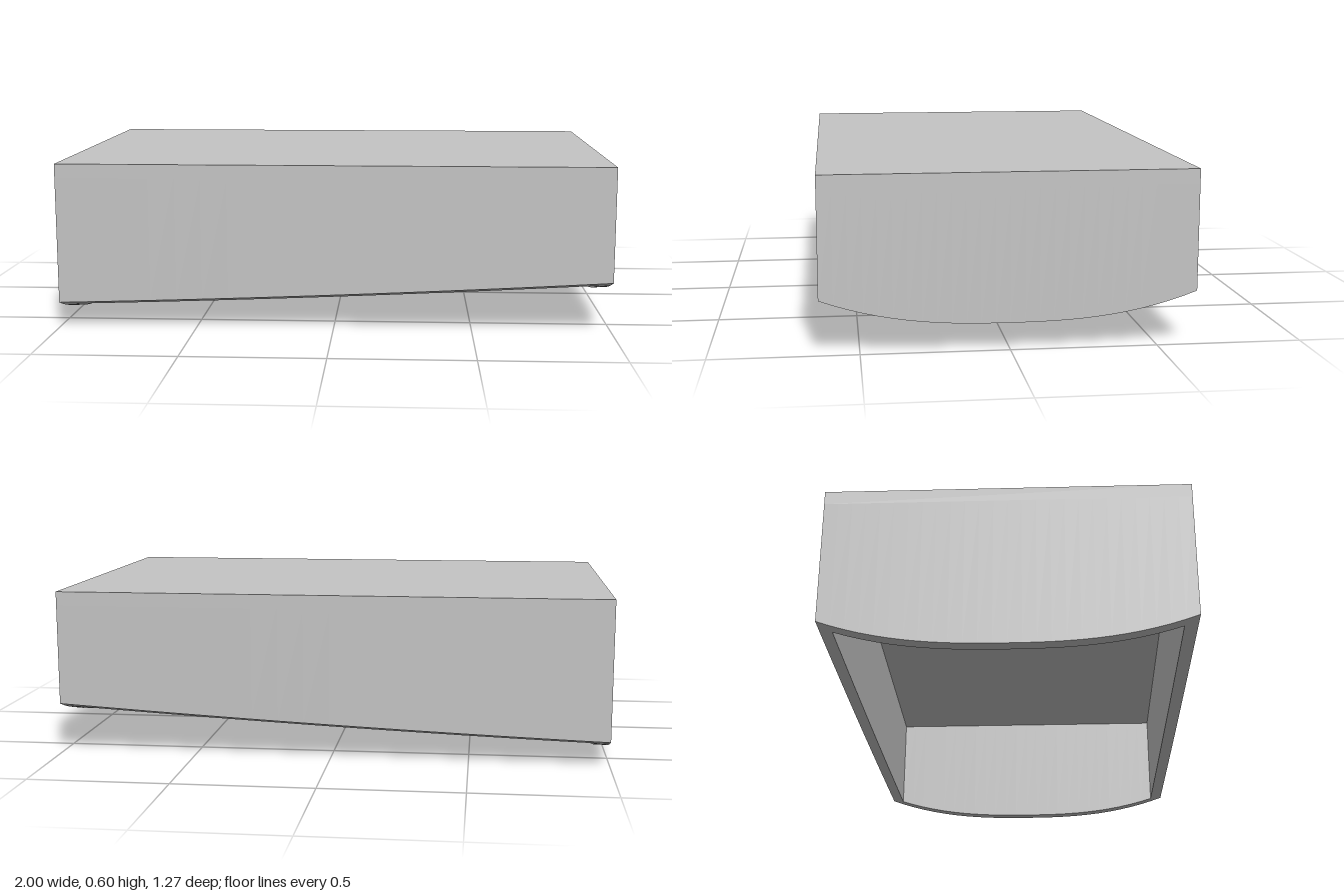
import * as THREE from 'three';

const HALF_X = 1, HALF_Z = 0.634, TOP = 0.6, WALL = 0.05;

// Height of the lower rim: climbs gently towards +x and sags between the long sides
function rimHeight(x, z) {
  const climb = 0.0465 * (x + 1) - 0.008 * (1 - x * x);
  return climb + 0.092 * Math.pow(Math.abs(z) / HALF_Z, 2.6);
}

// Wall block whose bottom edge follows the rim
function makeWall(name, material, sizeX, sizeZ, x, z, segX, segZ) {
  const height = TOP - WALL;
  const geo = new THREE.BoxGeometry(sizeX, height, sizeZ, segX, 1, segZ);
  geo.translate(x, height / 2, z);
  const pos = geo.attributes.position;
  for (let i = 0; i < pos.count; i++) {
    if (pos.getY(i) < height / 2) pos.setY(i, rimHeight(pos.getX(i), pos.getZ(i)));
  }
  geo.computeVertexNormals(); // box faces stay sharp, curved rim stays smooth
  const mesh = new THREE.Mesh(geo, material);
  mesh.name = name;
  return mesh;
}

export function createModel() {
  const group = new THREE.Group();
  group.name = 'hollowCover';
  const grey = new THREE.MeshStandardMaterial({ color: 0xc4c4c4 });
  grey.name = 'plainGrey';

  // Flat top slab
  const top = new THREE.Mesh(new THREE.BoxGeometry(2 * HALF_X, WALL, 2 * HALF_Z), grey);
  top.position.y = TOP - WALL / 2;
  top.name = 'topSlab';
  group.add(top);

  // End walls run the full depth, long walls fit between them
  for (const s of [1, -1]) {
    group.add(makeWall(s > 0 ? 'leftEndWall' : 'rightEndWall', grey,
      WALL, 2 * HALF_Z, s * (HALF_X - WALL / 2), 0, 1, 26));
    group.add(makeWall(s > 0 ? 'frontWall' : 'backWall', grey,
      2 * (HALF_X - WALL), WALL, 0, s * (HALF_Z - WALL / 2), 20, 1));
  }
  return group;
}
